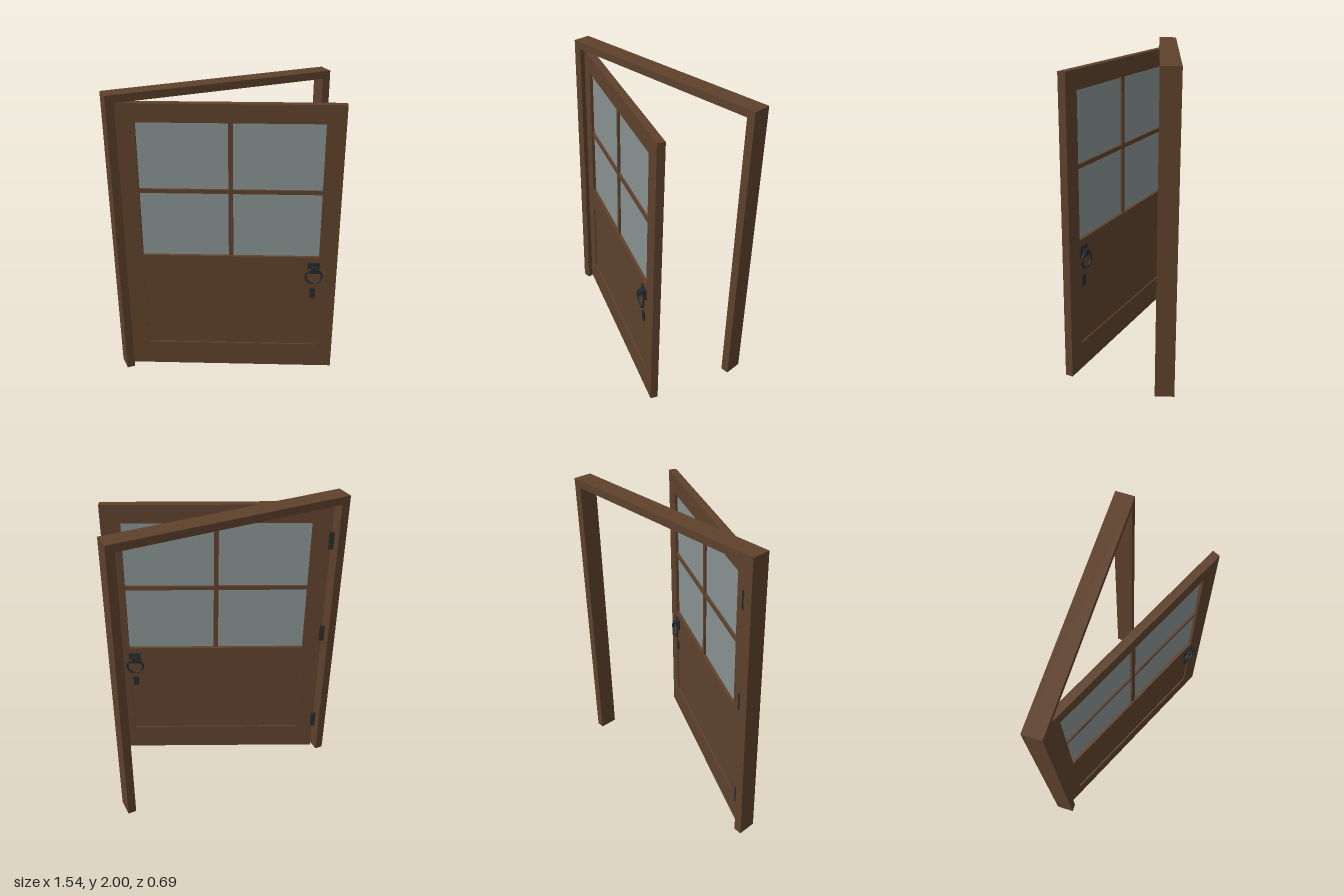
import * as THREE from 'three';

const wood = new THREE.MeshStandardMaterial({ color: 0x5e412c });
wood.name = 'brown wood';
const glass = new THREE.MeshStandardMaterial({ color: 0x879291 });
glass.name = 'grey glass';
const iron = new THREE.MeshStandardMaterial({ color: 0x25282b });
iron.name = 'dark iron';

function add(parent, name, geometry, material, x, y, z) {
  const mesh = new THREE.Mesh(geometry, material);
  mesh.name = name;
  mesh.position.set(x, y, z);
  parent.add(mesh);
  return mesh;
}

const box = (w, h, d) => new THREE.BoxGeometry(w, h, d);

// Traces a rectangle on a shape or a hole path
function trace(path, x0, y0, x1, y1) {
  path.moveTo(x0, y0);
  path.lineTo(x1, y0);
  path.lineTo(x1, y1);
  path.lineTo(x0, y1);
  path.closePath();
  return path;
}

// Fixed frame: one outline of two posts and a lintel
function createFrame() {
  const [outer, inner, lintel, depth] = [0.768, 0.714, 1.95, 0.12];
  const shape = new THREE.Shape([
    [-outer, 0], [-inner, 0], [-inner, lintel], [inner, lintel],
    [inner, 0], [outer, 0], [outer, 2], [-outer, 2],
  ].map(([x, y]) => new THREE.Vector2(x, y)));
  const geometry = new THREE.ExtrudeGeometry(shape, { depth, bevelEnabled: false });
  const mesh = new THREE.Mesh(geometry, wood);
  mesh.name = 'doorFrame';
  mesh.position.z = -0.345;
  return mesh;
}

// Ring pull, backplate and key plate for one face of the leaf
function createHandle(side) {
  const handle = new THREE.Group();
  handle.name = side > 0 ? 'frontHandle' : 'backHandle';
  add(handle, 'backplate', box(0.08, 0.08, 0.01), iron, 0, 0.82, 0.03);
  add(handle, 'ringMount', box(0.036, 0.036, 0.03), iron, 0, 0.82, 0.045);
  add(handle, 'pullRing', new THREE.TorusGeometry(0.054, 0.007, 8, 20), iron, 0, 0.77, 0.05);
  add(handle, 'keyPlate', box(0.036, 0.072, 0.008), iron, 0, 0.625, 0.028);
  handle.position.x = 1.263;
  if (side < 0) handle.rotation.y = Math.PI;
  return handle;
}

// Door leaf, built from its hinge edge along +x
function createLeaf() {
  const leaf = new THREE.Group();
  leaf.name = 'doorLeaf';
  const [width, thick, left, right] = [1.418, 0.05, 0.121, 1.297];
  const middle = (left + right) / 2;
  const open = right - left;

  // Stiles and rails in one piece, open for the window and the panel
  const outline = trace(new THREE.Shape(), 0, 0.015, width, 1.942);
  outline.holes.push(
    trace(new THREE.Path(), left, 0.9, right, 1.822),
    trace(new THREE.Path(), left, 0.197, right, 0.737),
  );
  const surround = new THREE.ExtrudeGeometry(outline, { depth: thick, bevelEnabled: false });
  add(leaf, 'stilesAndRails', surround, wood, 0, 0, -thick / 2);
  add(leaf, 'lowerPanel', box(open, 0.54, 0.03), wood, middle, 0.467, 0);

  // Four panes divided by crossing bars
  add(leaf, 'windowGlass', box(open, 0.922, 0.009), glass, middle, 1.361, 0);
  add(leaf, 'verticalBar', box(0.03, 0.922, 0.035), wood, middle, 1.361, 0);
  add(leaf, 'horizontalBar', box(open, 0.028, 0.035), wood, middle, 1.363, 0);

  for (const side of [1, -1]) leaf.add(createHandle(side));
  for (const y of [0.27, 1.02, 1.705]) {
    add(leaf, 'hinge', box(0.03, 0.11, 0.022), iron, 0, y, -0.03);
  }
  return leaf;
}

export function createModel() {
  const model = new THREE.Group();
  model.name = 'openDoor';
  model.add(createFrame());

  // Leaf swung open towards the front
  const leaf = createLeaf();
  leaf.position.set(-0.7, 0, -0.28);
  leaf.rotation.y = THREE.MathUtils.degToRad(-25);
  model.add(leaf);
  return model;
}
